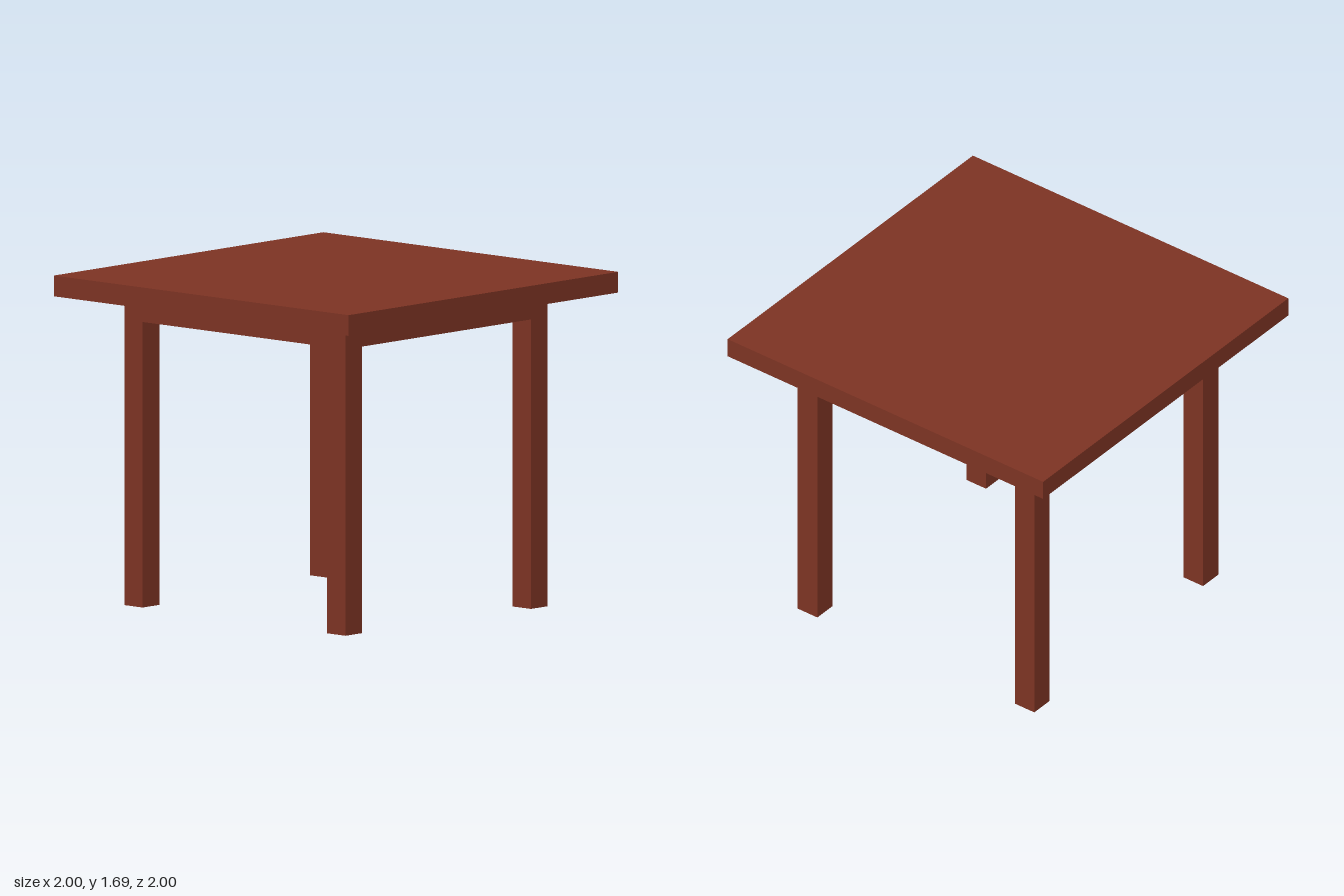
import * as THREE from 'three';

export function createModel() {
  const wood = new THREE.MeshStandardMaterial({ color: 0x7c3323 });
  wood.name = 'reddish brown wood';
  const table = new THREE.Group();
  table.name = 'table';

  // Box spanning bottom..top, centred on (x, z)
  const addBlock = (name, width, bottom, top, x = 0, z = 0) => {
    const mesh = new THREE.Mesh(new THREE.BoxGeometry(width, top - bottom, width), wood);
    mesh.name = name;
    mesh.position.set(x, (bottom + top) / 2, z);
    table.add(mesh);
  };

  addBlock('tabletop', 2, 1.585, 1.69);
  addBlock('apron', 1.5, 1.465, 1.585);

  // Legs of slightly uneven length, flush with the apron corners
  const legs = [
    ['frontLeftLeg', 1, 1, 0],
    ['frontRightLeg', -1, 1, 0.015],
    ['backLeftLeg', 1, -1, 0.02],
    ['backRightLeg', -1, -1, 0.02],
  ];
  for (const [name, sx, sz, bottom] of legs) {
    addBlock(name, 0.124, bottom, 1.465, sx * 0.688, sz * 0.688);
  }
  return table;
}
